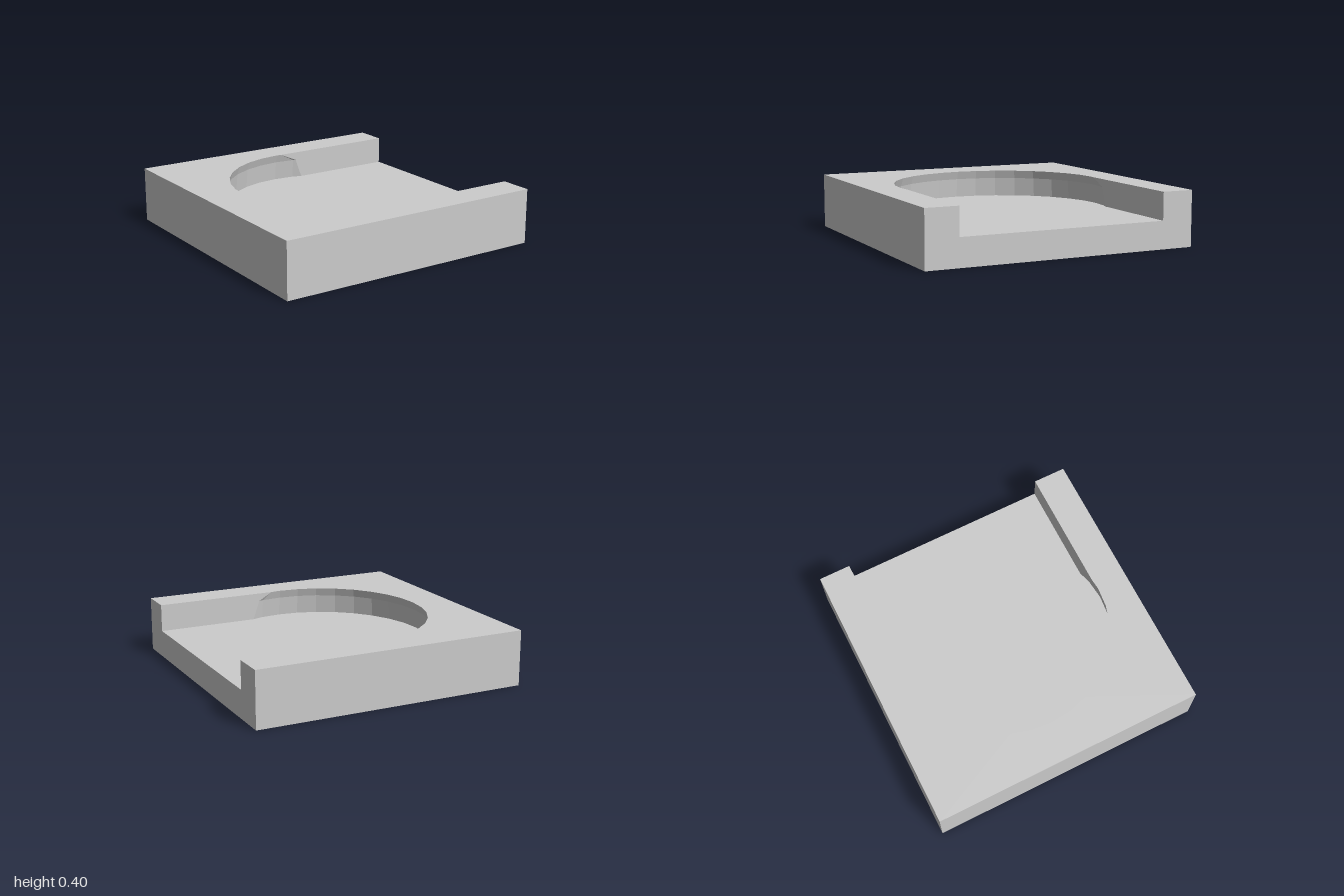
import * as THREE from 'three';

const SEG = Math.PI / 16;   // facet angle of the round pocket
const FLOOR = 0.2;          // pocket floor height
const TOP = 0.4;

// One side of the pocket outline: facets from the middle of the closed end
// until they meet the straight slot wall. side is -1 (back) or 1 (front).
function halfOutline(scale, side, wall) {
  const pts = [];
  let done = false;
  for (let k = 0; k <= 10; k++) {
    const prev = pts[k - 1];
    if (done) { pts.push(prev.clone()); continue; }
    const p = new THREE.Vector2(0.02 - 0.772 * scale * Math.cos(k * SEG), 0.804 * scale * Math.sin(k * SEG));
    if (k > 8 && p.y < wall) {
      p.lerpVectors(prev, p, (prev.y - wall) / (prev.y - p.y));
      done = true;
    }
    pts.push(p);
  }
  pts.push(new THREE.Vector2(1, wall));
  return pts.map((p) => new THREE.Vector2(p.x, p.y * side));
}

// Closed outline of the raised wall, as (x, z) points
function outline(scale) {
  const back = halfOutline(scale, -1, 0.767).reverse();
  const front = halfOutline(scale, 1, 0.762).slice(1);
  const corners = [[1, 1], [-1, 1], [-1, -1], [1, -1]].map(([x, z]) => new THREE.Vector2(x, z));
  return [...back, ...front, ...corners];
}

// Flat-faced skin between outlines stacked at different heights
function skin(levels) {
  const pos = [];
  for (let l = 0; l < levels.length - 1; l++) {
    const lo = levels[l], hi = levels[l + 1], n = lo.pts.length;
    for (let i = 0; i < n; i++) {
      const j = (i + 1) % n;
      const a = [lo.pts[i].x, lo.y, lo.pts[i].y], b = [lo.pts[j].x, lo.y, lo.pts[j].y];
      const c = [hi.pts[j].x, hi.y, hi.pts[j].y], d = [hi.pts[i].x, hi.y, hi.pts[i].y];
      pos.push(...a, ...d, ...c, ...a, ...c, ...b);
    }
  }
  const geo = new THREE.BufferGeometry();
  geo.setAttribute('position', new THREE.Float32BufferAttribute(pos, 3));
  geo.computeVertexNormals();
  return geo;
}

export function createModel() {
  const model = new THREE.Group();
  const grey = new THREE.MeshStandardMaterial({ color: 0xcccccc });
  grey.name = 'light grey';
  const add = (name, geo) => {
    const mesh = new THREE.Mesh(geo, grey);
    mesh.name = name;
    model.add(mesh);
    return mesh;
  };

  // Solid slab whose top is the pocket floor
  add('baseSlab', new THREE.BoxGeometry(2, FLOOR, 2)).position.y = FLOOR / 2;

  // Raised wall: the round pocket leans inwards towards the rim
  const levels = [[FLOOR, 1], [0.34, 0.981], [TOP, 0.958]].map(([y, s]) => ({ y, pts: outline(s) }));
  add('raisedWall', skin(levels));

  // Flat top around the pocket
  const shape = new THREE.Shape(levels[2].pts.map((p) => new THREE.Vector2(p.x, -p.y)));
  const top = new THREE.ShapeGeometry(shape);
  top.rotateX(-Math.PI / 2);
  add('topFace', top).position.y = TOP;

  return model;
}
